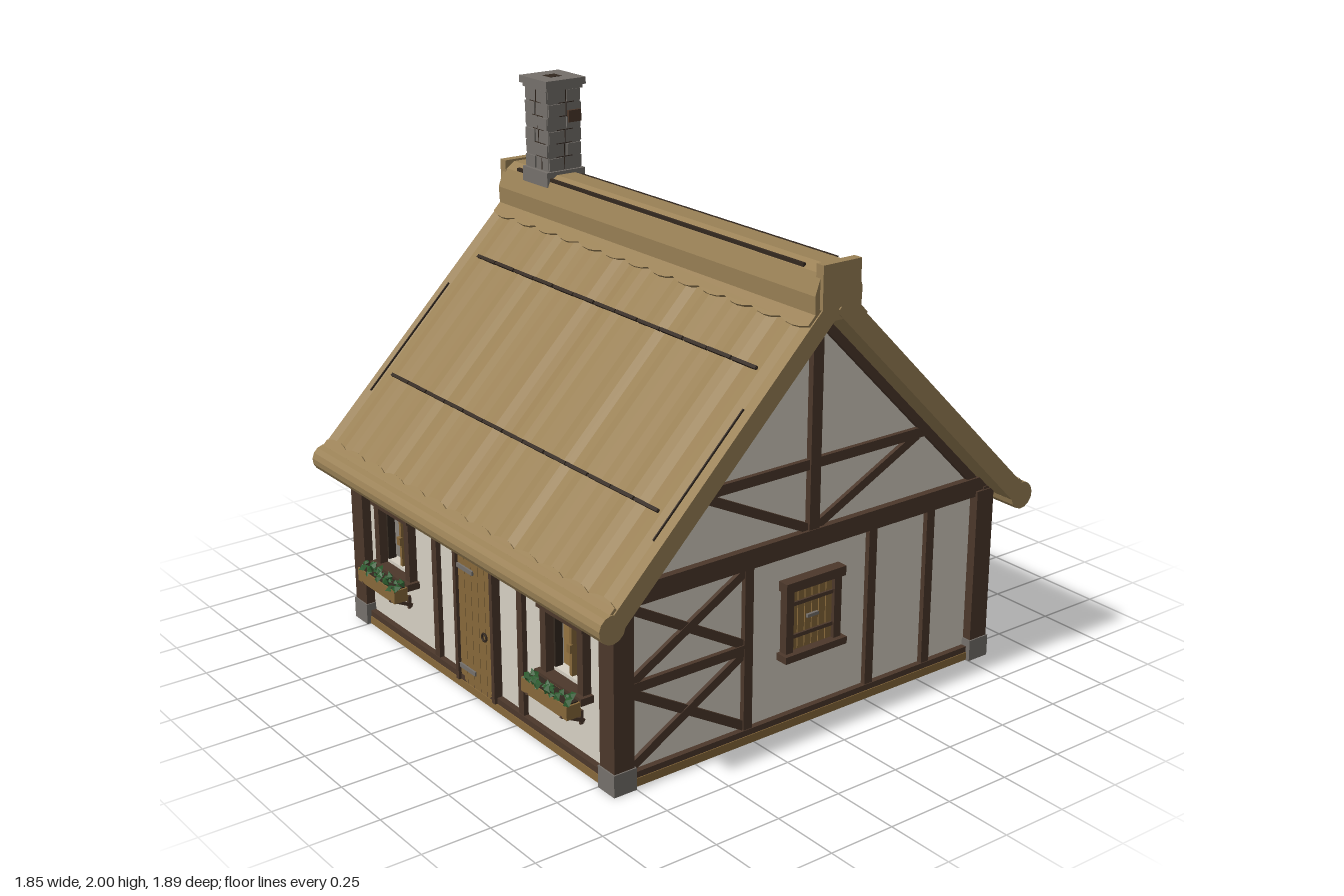
import * as THREE from 'three';

const mat = (name, color) => {
  const m = new THREE.MeshStandardMaterial({ color });
  m.name = name;
  return m;
};

export function createModel() {
  const plaster = mat('plaster', 0xd6d0c3), timber = mat('dark timber', 0x4c382b);
  const thatch = mat('thatch', 0x9a8156), wood = mat('oak planks', 0x86683a);
  const stone = mat('stone', 0x75706b), leaf = mat('leaves', 0x2b5a2d);
  const gap = mat('dark gaps', 0x33281f);
  thatch.flatShading = true;

  let seed = 7;
  const rnd = () => (seed = (seed * 16807) % 2147483647) / 2147483647;
  const group = (name, parent) => {
    const g = new THREE.Group();
    g.name = name;
    if (parent) parent.add(g);
    return g;
  };
  const add = (parent, name, geo, m, x = 0, y = 0, z = 0) => {
    const o = new THREE.Mesh(geo, m);
    o.name = name;
    o.position.set(x, y, z);
    parent.add(o);
    return o;
  };
  const box = (parent, name, m, w, h, d, x, y, z) => add(parent, name, new THREE.BoxGeometry(w, h, d), m, x, y, z);
  // box given by its edges in the wall plane, from depth z0 to z1
  const slab = (parent, name, m, x0, x1, y0, y1, z0, z1) =>
    box(parent, name, m, x1 - x0, y1 - y0, z1 - z0, (x0 + x1) / 2, (y0 + y1) / 2, (z0 + z1) / 2);
  const beam = (parent, name, x0, y0, x1, y1, w, z = 0.805, d = 0.024) => {
    const b = box(parent, name, timber, Math.hypot(x1 - x0, y1 - y0), w, d, (x0 + x1) / 2, (y0 + y1) / 2, z);
    b.rotation.z = Math.atan2(y1 - y0, x1 - x0);
  };

  const house = group('cottage');

  // Floor, corner posts and footing stones
  slab(house, 'floor', wood, -0.825, 0.825, 0, 0.03, -0.825, 0.825);
  for (const sx of [-1, 1]) for (const sz of [-1, 1]) {
    box(house, 'cornerPost', timber, 0.08, 0.62, 0.08, sx * 0.795, 0.35, sz * 0.795);
    box(house, 'footingStone', stone, 0.09, 0.08, 0.09, sx * 0.795, 0.04, sz * 0.795);
  }

  // Plaster panel with optional gable and window holes
  const panel = (parent, gable, holes) => {
    const s = new THREE.Shape();
    s.moveTo(-0.79, 0.03).lineTo(0.79, 0.03).lineTo(0.79, 0.66);
    if (gable) s.lineTo(0, 1.455);
    s.lineTo(-0.79, 0.66).closePath();
    for (const x of holes) {
      const h = new THREE.Path();
      h.moveTo(x - 0.09, 0.3).lineTo(x - 0.09, 0.515).lineTo(x + 0.09, 0.515).lineTo(x + 0.09, 0.3).closePath();
      s.holes.push(h);
    }
    add(parent, 'plasterWall', new THREE.ExtrudeGeometry(s, { depth: 0.04, bevelEnabled: false }), plaster, 0, 0, 0.76);
    slab(parent, 'sillBeam', timber, -0.76, 0.76, 0.03, 0.052, 0.795, 0.822);
  };
  const windowFrame = (parent, x) => {
    for (const s of [-1, 1]) box(parent, 'windowJamb', timber, 0.032, 0.25, 0.05, x + s * 0.106, 0.4, 0.807);
    box(parent, 'windowHeader', timber, 0.262, 0.035, 0.06, x, 0.532, 0.812);
    box(parent, 'windowSill', timber, 0.272, 0.026, 0.07, x, 0.274, 0.815);
  };

  // Closed shutters made of planks
  const shutters = (parent) => {
    const g = group('shutteredWindow', parent);
    windowFrame(g, 0);
    box(g, 'shutterBack', gap, 0.19, 0.24, 0.01, 0, 0.4, 0.805);
    for (let i = 0; i < 6; i++) box(g, 'shutterPlank', wood, 0.027, 0.225, 0.012, (i - 2.5) * 0.031, 0.4, 0.812);
    for (const y of [0.34, 0.46]) box(g, 'shutterBatten', timber, 0.18, 0.014, 0.008, 0, y, 0.821);
    box(g, 'shutterLatch', stone, 0.05, 0.012, 0.01, 0, 0.4, 0.823);
  };

  // Three walls share one framing, the two side walls carry gables
  const framedWall = (name, angle, gable) => {
    const g = group(name, house);
    g.rotation.y = angle;
    panel(g, gable, []);
    slab(g, 'topBeam', timber, -0.83, 0.83, 0.64, gable ? 0.71 : 0.67, 0.79, 0.826);
    for (const x of [-0.273, 0.273, 0.545]) box(g, 'stud', timber, 0.036, 0.6, 0.024, x, 0.34, 0.807);
    beam(g, 'midRail', -0.76, 0.35, -0.29, 0.35, 0.034);
    for (const [a, b] of [[0.065, 0.335], [0.365, 0.63]]) {
      beam(g, 'crossBrace', -0.755, a, -0.285, b, 0.032, 0.803);
      beam(g, 'crossBrace', -0.755, b, -0.285, a, 0.032, 0.801);
    }
    shutters(g);
    if (!gable) return;
    box(g, 'kingPost', timber, 0.044, 0.74, 0.03, 0, 1.08, 0.808);
    beam(g, 'collarBeam', -0.51, 0.943, 0.51, 0.943, 0.036);
    for (const s of [-1, 1]) {
      beam(g, 'gableBrace', s * 0.02, 0.715, s * 0.47, 0.935, 0.032, 0.803);
      beam(g, 'rafter', 0, 1.452, s * 0.79, 0.662, 0.032, 0.806);
    }
  };
  framedWall('rightWall', Math.PI / 2, true);
  framedWall('backWall', Math.PI, false);
  framedWall('leftWall', -Math.PI / 2, true);

  // Front wall with open windows and flower boxes
  const front = group('frontWall', house);
  panel(front, false, [-0.55, 0.54]);
  slab(front, 'topBeam', timber, -0.83, 0.83, 0.61, 0.67, 0.79, 0.826);
  for (const s of [-1, 1]) box(front, 'stud', timber, 0.032, 0.58, 0.024, s * 0.273, 0.33, 0.807);
  for (const x of [-0.55, 0.54]) {
    const g = group('frontWindow', front);
    windowFrame(g, x);
    for (const s of [-1, 1]) box(g, 'innerFrame', gap, 0.01, 0.21, 0.03, x + s * 0.086, 0.405, 0.785);
    box(g, 'mullion', wood, 0.014, 0.215, 0.02, x, 0.405, 0.785);
    box(g, 'windowKnob', wood, 0.022, 0.03, 0.012, x, 0.4, 0.798);
    const f = group('flowerBox', g);
    box(f, 'planter', wood, 0.265, 0.05, 0.055, x, 0.251, 0.877);
    box(f, 'soil', gap, 0.25, 0.006, 0.045, x, 0.277, 0.877);
    for (const s of [-1, 1]) {
      const b = box(f, 'planterBracket', timber, 0.01, 0.012, 0.1, x + s * 0.1, 0.208, 0.86);
      b.rotation.x = -0.45;
      box(f, 'bracketFoot', timber, 0.01, 0.05, 0.012, x + s * 0.1, 0.202, 0.826);
    }
    for (let i = 0; i < 26; i++) {
      const l = add(f, 'leaf', new THREE.OctahedronGeometry(0.014 + rnd() * 0.008), leaf,
        x - 0.125 + i * 0.01, 0.268 + rnd() * 0.025, 0.86 + rnd() * 0.045);
      l.scale.y = 0.6;
      l.rotation.set(rnd() * 2, rnd() * 3, 0);
    }
  }

  // Small chest behind the left window
  box(house, 'chest', timber, 0.12, 0.34, 0.12, -0.65, 0.2, -0.5);
  box(house, 'chestTop', wood, 0.14, 0.015, 0.14, -0.65, 0.378, -0.5);

  // Plank door
  const door = group('door', front);
  for (const s of [-1, 1]) box(door, 'doorJamb', timber, 0.018, 0.56, 0.045, s * 0.117, 0.31, 0.81);
  box(door, 'doorLintel', timber, 0.25, 0.03, 0.045, 0, 0.592, 0.81);
  box(door, 'doorBack', gap, 0.22, 0.55, 0.01, 0, 0.302, 0.806);
  for (let i = 0; i < 5; i++) box(door, 'doorPlank', wood, 0.0405, 0.555, 0.014, (i - 2) * 0.0425, 0.302, 0.815);
  for (const y of [0.09, 0.475]) box(door, 'strapHinge', stone, 0.1, 0.016, 0.008, -0.055, y, 0.825);
  add(door, 'doorRing', new THREE.TorusGeometry(0.014, 0.004, 6, 14), gap, 0.063, 0.26, 0.828);

  // Thin strip with a row of scallops along one edge
  const scallops = (depth, bump, n) => {
    const s = new THREE.Shape(), w = 1.82 / n;
    s.moveTo(-0.91, 0).lineTo(0.91, 0).lineTo(0.91, depth);
    for (let i = 0; i < n; i++) {
      const x = 0.91 - i * w;
      s.quadraticCurveTo(x - w / 2, depth + bump * 2, x - w, depth);
    }
    return new THREE.ExtrudeGeometry(s, { depth: 0.01, bevelEnabled: false, curveSegments: 4 });
  };

  // Thatched roof slopes; local z runs down the slope, local y points outward
  const slope = (name, angle) => {
    const turn = group(name, house);
    turn.rotation.y = angle;
    const g = group('slope', turn);
    g.position.y = 1.48;
    g.rotation.x = Math.PI / 4;
    const geo = new THREE.BoxGeometry(1.83, 0.068, 1.24, 44, 1, 1);
    const p = geo.attributes.position;
    for (let i = 0; i < p.count; i++) if (p.getY(i) > 0) {
      const x = p.getX(i);
      p.setY(i, p.getY(i) + 0.003 * (Math.sin(x * 31) + Math.sin(x * 47 + 1)));
    }
    geo.computeVertexNormals();
    add(g, 'thatchSlab', geo, thatch, 0, 0.034, 0.61);
    const roll = add(g, 'eaveRoll', new THREE.CylinderGeometry(0.05, 0.05, 1.83, 14), thatch, 0, 0.039, 1.227);
    roll.rotation.z = Math.PI / 2;
    const trim = add(g, 'eaveScallops', scallops(0.03, 0.014, 13), thatch, 0, 0.068, 1.2);
    trim.rotation.x = -Math.PI / 2;
    const skirt = add(g, 'ridgeScallops', scallops(0.1, 0.014, 13), thatch, 0, 0.078, 0);
    skirt.rotation.x = Math.PI / 2;
    // Binding rods and seams
    for (const a of [0.29, 0.84]) {
      for (let i = 0; i < 13; i++)
        box(g, 'bindingRod', gap, 0.118, 0.012, 0.012, (i - 6) * 0.1265, 0.074 + (i % 2) * 0.002, a);
      box(g, 'bindingTwine', gap, 1.64, 0.008, 0.006, 0, 0.073, a);
    }
    for (const s of [-1, 1]) box(g, 'thatchSeam', gap, 0.005, 0.006, 0.5, s * 0.875, 0.073, 0.68);
    box(turn, 'ridgeRod', gap, 1.64, 0.012, 0.012, 0, 1.633, 0.068);
  };
  slope('frontRoof', 0);
  slope('backRoof', Math.PI);

  // Ridge cap
  const cap = new THREE.Shape();
  const half = [[0.095, 1.46], [0.1, 1.555], [0.075, 1.625], [0.04, 1.648]];
  cap.moveTo(-half[0][0], half[0][1]);
  half.forEach(([z, y]) => cap.lineTo(z, y));
  half.slice().reverse().forEach(([z, y]) => cap.lineTo(-z, y));
  const ridge = add(house, 'ridgeCap', new THREE.ExtrudeGeometry(cap, { depth: 1.82, bevelEnabled: false }), thatch, -0.91);
  ridge.rotation.y = Math.PI / 2;
  for (const s of [-1, 1]) box(house, 'ridgeEnd', thatch, 0.035, 0.148, 0.16, s * 0.907, 1.582, 0);

  // Chimney with uneven masonry
  const chimney = group('chimney', house);
  chimney.position.x = -0.683;
  box(chimney, 'shaft', stone, 0.142, 0.44, 0.142, 0, 1.76, 0);
  box(chimney, 'chimneyBase', stone, 0.162, 0.056, 0.17, 0, 1.633, 0);
  box(chimney, 'chimneyNeck', stone, 0.158, 0.014, 0.158, 0, 1.967, 0);
  box(chimney, 'chimneyCap', stone, 0.176, 0.026, 0.176, 0, 1.987, 0);
  box(chimney, 'flue', gap, 0.052, 0.002, 0.052, 0, 2, 0);
  for (let f = 0; f < 4; f++) {
    const g = group('masonryFace', chimney);
    g.rotation.y = f * Math.PI / 2;
    for (let r = 0; r < 6; r++) {
      const y = 1.687 + r * 0.05, x = (rnd() - 0.5) * 0.06;
      box(g, 'block', stone, 0.06, 0.044, 0.008, (r % 2 ? 1 : -1) * 0.04, y, 0.073);
      box(g, 'joint', gap, 0.07, 0.003, 0.002, x, y + 0.025, 0.071);
      box(g, 'joint', gap, 0.003, 0.045, 0.002, x, y, 0.0715);
    }
    if (f === 1) box(g, 'darkBrick', timber, 0.055, 0.044, 0.014, 0.042, 1.86, 0.076);
  }
  return house;
}
